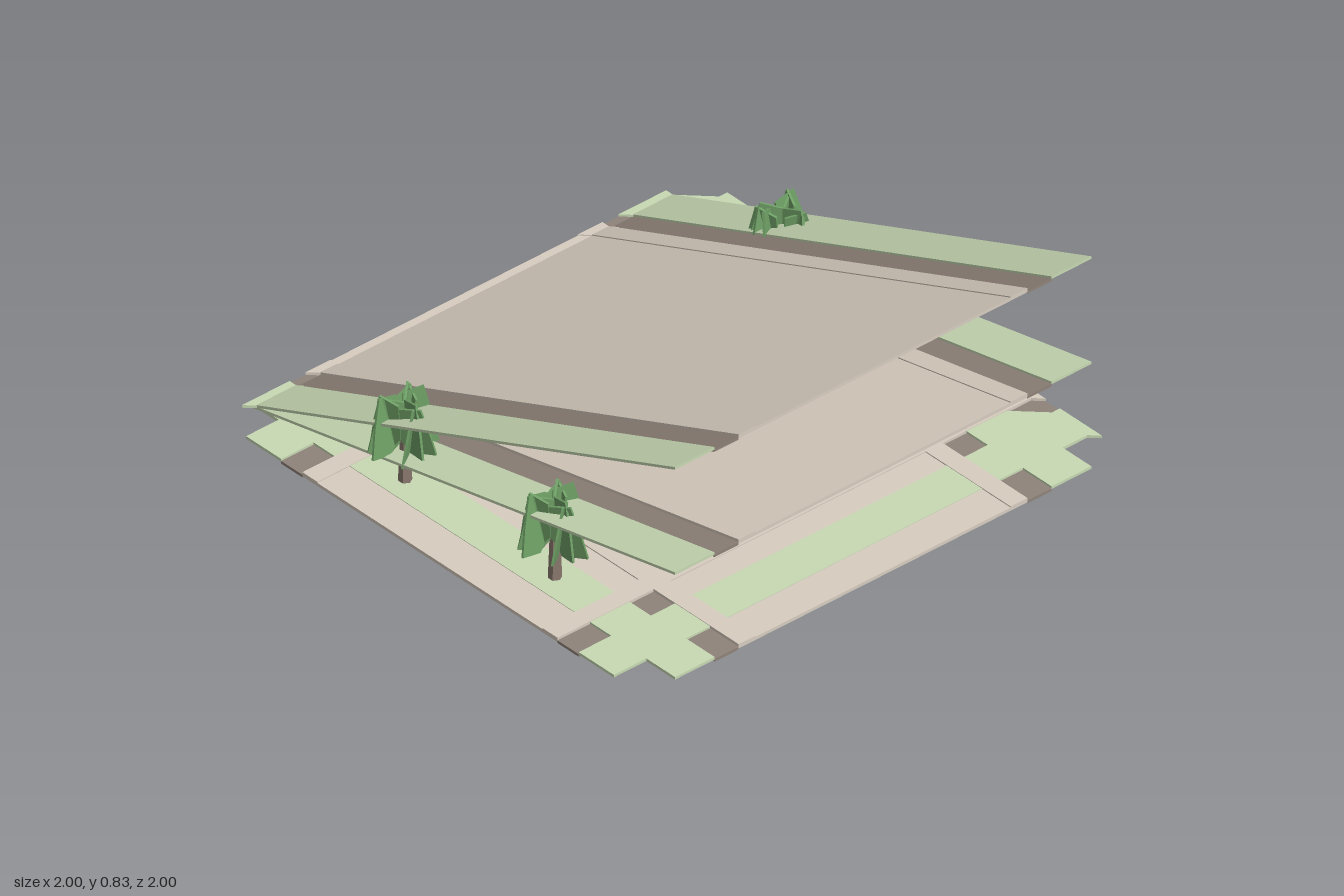
import * as THREE from 'three';

const mat = (name, color) => {
  const m = new THREE.MeshStandardMaterial({ color });
  m.name = name;
  return m;
};

export function createModel() {
  const model = new THREE.Group();
  model.name = 'crossroadsWithRamps';
  const paving = mat('paving', 0xd8cdc0);
  const grass = mat('grass', 0xc8dab4);
  const asphalt = mat('asphalt', 0x8f837a);
  const leaf = mat('leaf', 0x6fa066);
  const bark = mat('bark', 0x8a796e);

  // One street strip: [name, x from, x to, y from, y to, material]
  const lanes = [['paving', -0.53, 0.53, 0.016, 0.028, paving]];
  for (const s of [-1, 1]) {
    lanes.push(['curb', s * 0.53, s * 0.6, 0.016, 0.032, paving]);
    lanes.push(['road', s * 0.6, s * 0.7, 0.012, 0.022, asphalt]);
    lanes.push(['verge', s * 0.7, s * 0.865, 0.02, 0.03, grass]);
  }

  // Builds a street along z and moves its corners by a rule
  function street(name, rule) {
    const g = new THREE.Group();
    g.name = name;
    for (const [part, x0, x1, y0, y1, material] of lanes) {
      const geo = new THREE.BoxGeometry(Math.abs(x1 - x0), y1 - y0, 2);
      geo.translate((x0 + x1) / 2, (y0 + y1) / 2, 0);
      const p = geo.attributes.position;
      for (let i = 0; i < p.count; i++) p.setXYZ(i, ...rule(p.getX(i), p.getY(i), p.getZ(i)));
      geo.computeVertexNormals();
      const mesh = new THREE.Mesh(geo, material);
      mesh.name = part;
      g.add(mesh);
    }
    model.add(g);
  }

  // Ground streets: straight, crossing, and diagonal from the back edge to the left edge
  street('straightStreet', (x, y, z) => [x, y, z]);
  street('crossStreet', (x, y, z) => [z, y, -x]);
  street('diagonalStreet', (x, y, z) => {
    const run = (1.033 - x) * (z + 1) / 2;
    return [x - 0.033 + run, y, -1 + run];
  });

  // Ramps rising from the back edge
  for (const [name, rise] of [['lowRamp', 0.41], ['highRamp', 0.81]]) {
    street(name, (x, y, z) => [x, y - 0.012 + rise * (z + 1) / 2, z]);
  }

  // Trees: tapered trunk and a ring of thin leaning leaf boards
  const trunkGeo = new THREE.CylinderGeometry(0.016, 0.023, 0.2, 6).toNonIndexed();
  trunkGeo.translate(0, 0.125, 0);
  trunkGeo.computeVertexNormals();
  const outline = [[0, 0.2], [0.05, 0.14], [0.125, 0.155], [0.105, 0.25], [0.075, 0.355], [0, 0.335]];
  const bladeGeo = new THREE.ExtrudeGeometry(
    new THREE.Shape(outline.map(([x, y]) => new THREE.Vector2(x, y))),
    { depth: 0.008, bevelEnabled: false });
  bladeGeo.translate(0, 0, -0.004);
  const angles = [0.1, 0.75, 1.25, 1.9, 2.6, 3.2, 3.75, 4.5, 5.1, 5.75];

  for (const side of [-1, 1]) {
    for (const z of [0.345, -0.36]) {
      const tree = new THREE.Group();
      tree.name = 'tree';
      const trunk = new THREE.Mesh(trunkGeo, bark);
      trunk.name = 'trunk';
      tree.add(trunk);
      angles.forEach((a, i) => {
        const blade = new THREE.Mesh(bladeGeo, leaf);
        blade.name = 'leafBoard';
        blade.rotation.set(0.12 * (i % 3 - 1), a, 0, 'YXZ');
        blade.scale.set(0.9 + 0.1 * (i % 3) / 2, 0.97 + 0.03 * (i % 2), 1);
        tree.add(blade);
      });
      tree.position.set(side * 0.785, 0, z);
      tree.scale.x = -side;
      model.add(tree);
    }
  }
  return model;
}
